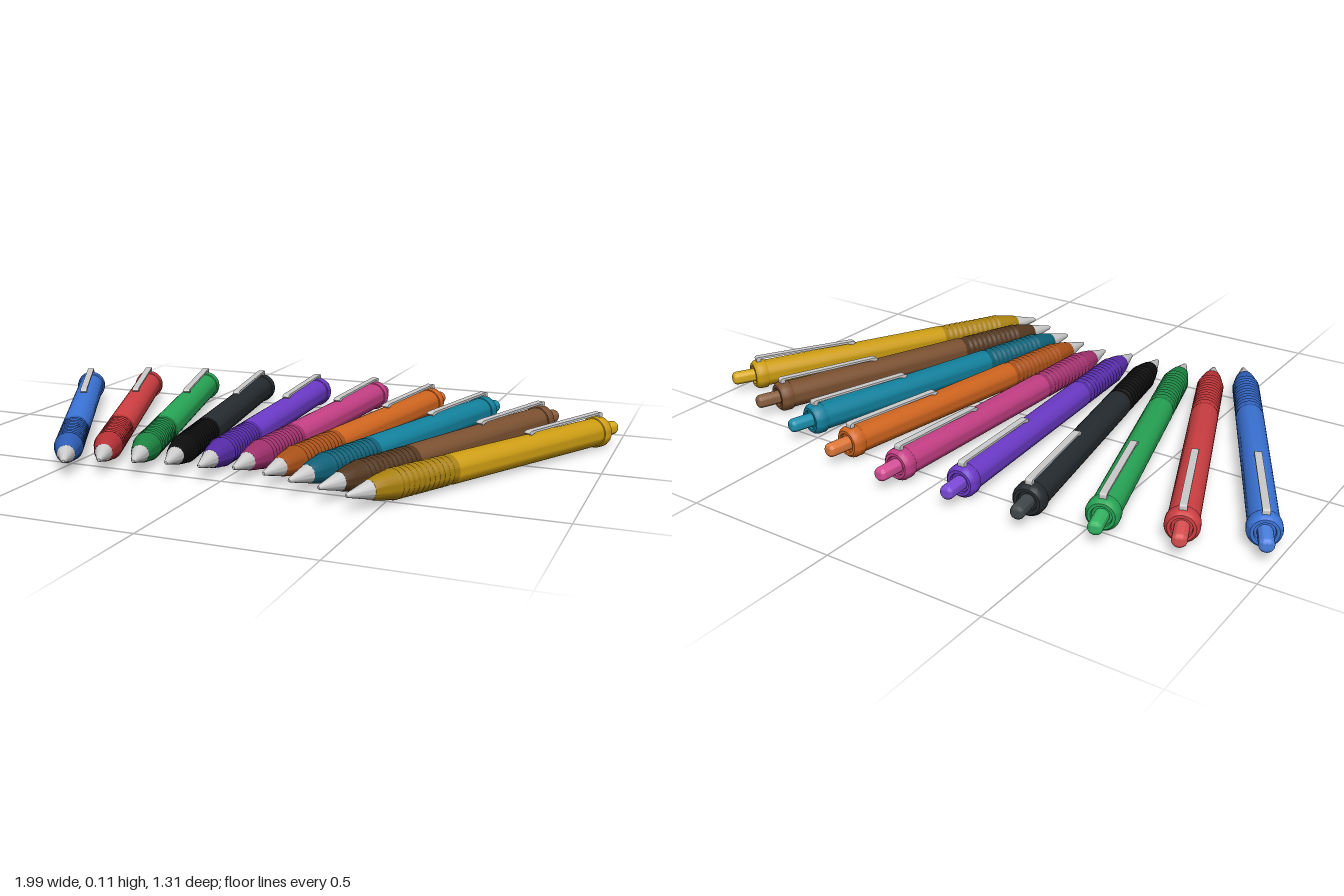
import * as THREE from 'three';
import { toCreasedNormals } from 'three/addons/utils/BufferGeometryUtils.js';

const SEGMENTS = 32;
const AXIS_HEIGHT = 0.05;

// Turned part from [radius, distance from the writing tip] pairs
function turned(profile) {
  const pts = profile.map(([r, y]) => new THREE.Vector2(r, y));
  return toCreasedNormals(new THREE.LatheGeometry(pts, SEGMENTS), 0.6);
}

function gripProfile() {
  const pts = [[0, 0.085], [0.027, 0.085], [0.03, 0.092], [0.037, 0.125], [0.0415, 0.155]];
  // Raised rings along the grip
  const rings = 11, start = 0.16, pitch = 0.02;
  for (let i = 0; i < rings; i++) {
    const y = start + i * pitch;
    pts.push([0.0415, y], [0.0445, y + pitch * 0.25], [0.0445, y + pitch * 0.65], [0.0415, y + pitch * 0.9]);
  }
  pts.push([0.042, 0.385], [0.0435, 0.39], [0.0435, 0.4], [0, 0.4]);
  return pts;
}

function buttonProfile() {
  const r = 0.022, end = 1.18, bevel = 0.014;
  const pts = [[0, 1.09], [r, 1.09]];
  for (let i = 0; i <= 5; i++) {
    const a = (i / 5) * Math.PI / 2;
    pts.push([r - bevel + bevel * Math.cos(a), end - bevel + bevel * Math.sin(a)]);
  }
  pts.push([0, end]);
  return pts;
}

// Spring strip: root foot in the collar, raised arm, tip bent down to the barrel
function clipGeometry() {
  const s = new THREE.Shape();
  s.moveTo(0.04, 1.095);
  s.lineTo(0.058, 1.095);
  s.quadraticCurveTo(0.064, 1.095, 0.064, 1.085);
  s.lineTo(0.0575, 0.755);
  s.quadraticCurveTo(0.057, 0.738, 0.05, 0.735);
  s.lineTo(0.044, 0.745);
  s.lineTo(0.0505, 0.765);
  s.lineTo(0.057, 1.08);
  s.lineTo(0.04, 1.08);
  s.closePath();
  const width = 0.022;
  const g = new THREE.ExtrudeGeometry(s, { depth: width, bevelEnabled: false, curveSegments: 5 });
  g.translate(0, 0, -width / 2);
  g.rotateY(-Math.PI / 2);
  return g;
}

export function createModel() {
  const model = new THREE.Group();
  model.name = 'penFan';

  const geometry = {
    tip: turned([[0, 0], [0.004, 0.001], [0.007, 0.006], [0.027, 0.086], [0, 0.086]]),
    grip: turned(gripProfile()),
    barrel: turned([[0, 0.395], [0.043, 0.395], [0.0445, 0.4], [0.0445, 1.07], [0, 1.07]]),
    collar: turned([[0.043, 1.065], [0.048, 1.066], [0.05, 1.07], [0.05, 1.093], [0.048, 1.099],
      [0.04, 1.108], [0.031, 1.108], [0.029, 1.1], [0, 1.1]]),
    button: turned(buttonProfile()),
    clip: clipGeometry(),
  };
  const metal = new THREE.MeshStandardMaterial({ color: 0xcccccc });

  // Body, grip and button colours; tip position x, z
  const pens = [
    ['blue', 0x3b74d8, 0x2f5fb8, 0x4a80e0, -0.435, 0.645],
    ['red', 0xcf3f42, 0xb83236, 0xdb5052, -0.348, 0.593],
    ['green', 0x27a555, 0x1c8542, 0x35b663, -0.25, 0.565],
    ['black', 0x262b2f, 0x0d0d0e, 0x41474a, -0.153, 0.545],
    ['purple', 0x6c3ac8, 0x552ba6, 0x7d4ad8, -0.05, 0.54],
    ['pink', 0xc43f85, 0xa0306c, 0xd85098, 0.05, 0.52],
    ['orange', 0xd0651f, 0xa85018, 0xe0783a, 0.152, 0.54],
    ['teal', 0x12809c, 0x0d6076, 0x1c92b0, 0.243, 0.575],
    ['brown', 0x7a5030, 0x52361e, 0x8c6040, 0.342, 0.608],
    ['yellow', 0xcc9c12, 0xa8800e, 0xd8aa1c, 0.435, 0.647],
  ];

  pens.forEach(([name, body, grip, button, x, z], i) => {
    const pen = new THREE.Group();
    pen.name = name + 'Pen';
    const paint = (color) => new THREE.MeshStandardMaterial({ color });
    const bodyPaint = paint(body);
    const materials = {
      tip: metal, grip: paint(grip), barrel: bodyPaint,
      collar: bodyPaint, button: paint(button), clip: metal,
    };
    for (const part in geometry) {
      const mesh = new THREE.Mesh(geometry[part], materials[part]);
      mesh.name = part;
      mesh.rotation.x = -Math.PI / 2;
      pen.add(mesh);
    }
    // Fan the pens out evenly
    pen.rotation.y = THREE.MathUtils.degToRad(27.5 - (i * 55) / 9);
    pen.position.set(x, AXIS_HEIGHT, z);
    model.add(pen);
  });
  return model;
}
